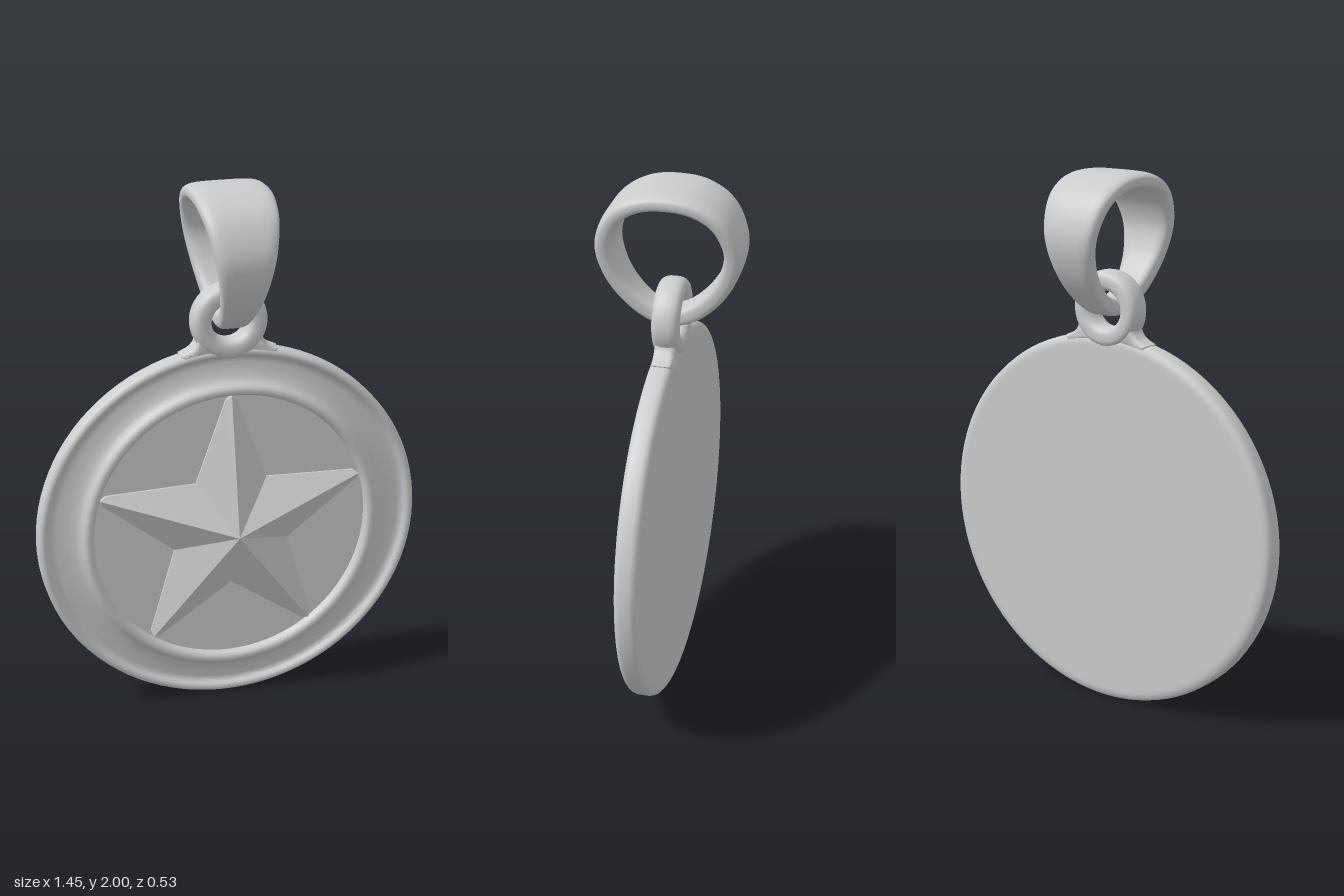
import * as THREE from 'three';
import { toCreasedNormals, mergeVertices } from 'three/addons/utils/BufferGeometryUtils.js';

const CENTER_Y = 0.703;

const metal = new THREE.MeshStandardMaterial({ color: 0xcccccc });
metal.name = 'grey metal';

function part(name, geometry) {
  const mesh = new THREE.Mesh(geometry, metal);
  mesh.name = name;
  return mesh;
}

// Signed power, used for superellipse sections
const round = (s, k) => Math.sign(s) * Math.pow(Math.abs(s), k);

// Round plate: rounded rim, shallow channel, raised ring and recessed floor
function medallionGeometry() {
  const profile = [
    [0, -0.04], [0.68, -0.04], [0.695, -0.04], [0.712, -0.037], [0.723, -0.029], [0.727, -0.016], [0.727, 0.02],
    [0.723, 0.033], [0.714, 0.041], [0.703, 0.042], [0.695, 0.037], [0.688, 0.028], [0.68, 0.022], [0.66, 0.022],
    [0.62, 0.027], [0.59, 0.034], [0.573, 0.044], [0.565, 0.058], [0.556, 0.067], [0.545, 0.07],
    [0.534, 0.067], [0.526, 0.058], [0.523, 0.035], [0, 0.035],
  ].map(([r, z]) => new THREE.Vector2(r, z));
  const geometry = new THREE.LatheGeometry(profile, 96).rotateX(Math.PI / 2);
  // the rim is slightly wider than tall, the inner ring stays round
  const p = geometry.attributes.position;
  for (let i = 0; i < p.count; i++) {
    const r = Math.hypot(p.getX(i), p.getY(i));
    const t = THREE.MathUtils.smoothstep(r, 0.57, 0.7);
    p.setY(i, p.getY(i) * (1 - 0.035 * t));
  }
  return toCreasedNormals(geometry, 0.75);
}

// Faceted star: ridges run from the apex to blunt tips, with short walls to the floor
function starGeometry() {
  const outline = [];
  for (let i = 0; i < 5; i++) {
    const a = Math.PI / 2 + (i * Math.PI * 2) / 5;
    const at = (angle, r, z) => [r * Math.cos(angle), r * Math.sin(angle), z];
    outline.push(at(a - 0.04, 0.506, 0.043), at(a, 0.52, 0.052), at(a + 0.04, 0.506, 0.043));
    outline.push(at(a + Math.PI / 5, 0.23, 0.043));
  }
  const apex = [0, 0, 0.16];
  const v = [];
  outline.forEach((a, i) => {
    const b = outline[(i + 1) % outline.length];
    const a0 = [a[0], a[1], 0.03];
    const b0 = [b[0], b[1], 0.03];
    v.push(...apex, ...a, ...b, ...a0, ...b0, ...b, ...a0, ...b, ...a);
  });
  const geometry = new THREE.BufferGeometry();
  geometry.setAttribute('position', new THREE.Float32BufferAttribute(v, 3));
  geometry.computeVertexNormals();
  return geometry;
}

// Tapered bail: a rounded strap section swept round a closed loop in the z-y plane
function bailGeometry() {
  const half = [[0.1, 1.953], [0.182, 1.9], [0.229, 1.79], [0.209, 1.685], [0.147, 1.588], [0.067, 1.524]];
  const loop = [[0, 1.967], ...half, [0, 1.508], ...half.map(([z, y]) => [-z, y]).reverse()];
  const curve = new THREE.CatmullRomCurve3(loop.map(([z, y]) => new THREE.Vector3(0, y, z)), true);
  const steps = 96, sides = 32, thick = 0.033;
  const positions = [], index = [];
  for (let i = 0; i <= steps; i++) {
    const c = curve.getPointAt((i % steps) / steps);
    const t = curve.getTangentAt((i % steps) / steps);
    const width = 0.052 + 0.09 * THREE.MathUtils.clamp((c.y - 1.5) / 0.46, 0, 1);
    for (let j = 0; j <= sides; j++) {
      const a = (j % sides) / sides * Math.PI * 2;
      const x = width * round(Math.cos(a), 0.45);
      const n = thick * round(Math.sin(a), 0.7);
      // outward direction in the loop plane is (y, z) = (t.z, -t.y)
      positions.push(x, c.y + n * t.z, c.z - n * t.y);
      if (i < steps && j < sides) {
        const p = i * (sides + 1) + j, q = p + sides + 1;
        index.push(p, p + 1, q, q, p + 1, q + 1);
      }
    }
  }
  let geometry = new THREE.BufferGeometry();
  geometry.setAttribute('position', new THREE.Float32BufferAttribute(positions, 3));
  geometry.setIndex(index);
  geometry = mergeVertices(geometry, 1e-5);
  geometry.computeVertexNormals();
  return geometry;
}

// Eyelet ring with a softly squared section
function eyeletGeometry() {
  const section = [];
  for (let i = 0; i <= 28; i++) {
    const a = (i / 28) * Math.PI * 2;
    section.push(new THREE.Vector2(0.104 + 0.038 * round(Math.cos(a), 0.75), 0.05 * round(Math.sin(a), 0.75)));
  }
  return new THREE.LatheGeometry(section, 64).rotateX(Math.PI / 2);
}

// Flared foot joining the eyelet to the rim, its lower edge buried in the rim
function footGeometry() {
  const s = new THREE.Shape();
  s.moveTo(-0.165, 1.375);
  s.quadraticCurveTo(0, 1.415, 0.165, 1.375);
  s.lineTo(0.168, 1.38);
  s.quadraticCurveTo(0.112, 1.398, 0.108, 1.45);
  s.lineTo(0.085, 1.45);
  s.quadraticCurveTo(0.06, 1.418, 0, 1.416);
  s.quadraticCurveTo(-0.06, 1.418, -0.085, 1.45);
  s.lineTo(-0.108, 1.45);
  s.quadraticCurveTo(-0.112, 1.398, -0.168, 1.38);
  const geometry = new THREE.ExtrudeGeometry(s, {
    depth: 0.04, bevelEnabled: true, bevelThickness: 0.018, bevelSize: 0.012, bevelSegments: 5, curveSegments: 14,
  });
  return toCreasedNormals(geometry.translate(0, 0, -0.02), 0.8);
}

export function createModel() {
  const model = new THREE.Group();
  model.name = 'starPendant';

  const medallion = part('medallion', medallionGeometry());
  medallion.position.y = CENTER_Y;

  const star = part('star', starGeometry());
  star.position.y = CENTER_Y;

  const eyelet = part('eyelet', eyeletGeometry());
  eyelet.position.y = 1.5;

  model.add(medallion, star, eyelet, part('eyeletFoot', footGeometry()), part('bail', bailGeometry()));
  return model;
}
